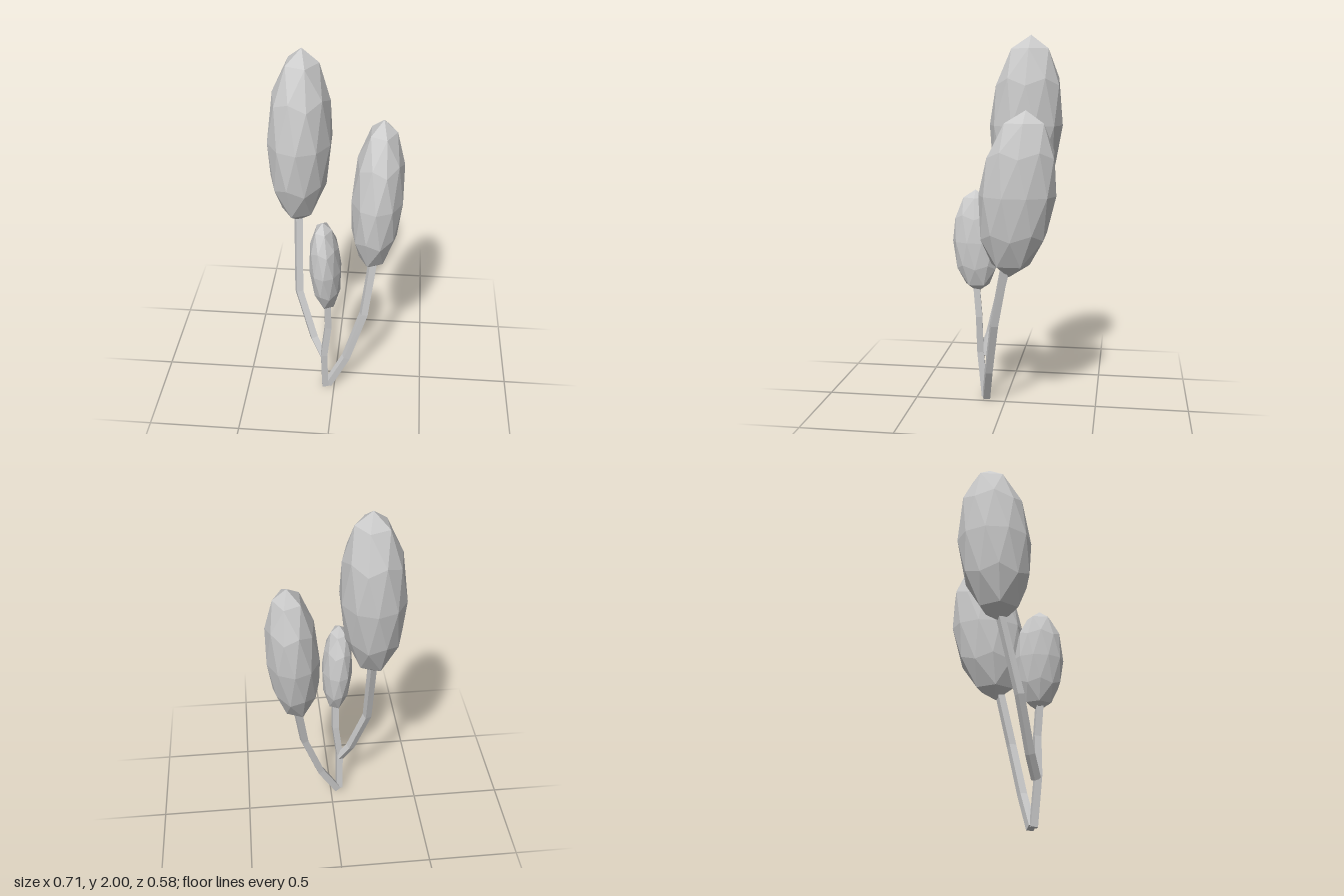
import * as THREE from 'three';

const material = new THREE.MeshStandardMaterial({ color: 0xcccccc, flatShading: true });

// Faceted egg of foliage; the poles lean sideways by leanX and leanZ.
function crown(name, [x, y, z], [rx, ry, rz], leanX, leanZ) {
  const g = new THREE.IcosahedronGeometry(1, 1);
  g.rotateZ(Math.atan(2 / (1 + Math.sqrt(5)))); // one corner straight up
  g.rotateY(Math.PI);
  const p = g.attributes.position;
  for (let i = 0; i < p.count; i++) {
    const h = p.getY(i);
    p.setXYZ(i, x + p.getX(i) * rx + h * leanX, y + h * ry, z + p.getZ(i) * rz + h * leanZ);
  }
  g.computeVertexNormals();
  const mesh = new THREE.Mesh(g, material);
  mesh.name = name;
  return mesh;
}

// Square stem: each ring of a four-sided cylinder is moved to one path point.
function stem(name, coords, radius, turn) {
  const pts = coords.map((c) => new THREE.Vector3(...c));
  const last = pts.length - 1;
  const up = new THREE.Vector3(0, 1, 0);
  const turns = pts.map((_, i) => {
    const dir = new THREE.Vector3();
    if (i > 0) dir.add(pts[i].clone().sub(pts[i - 1]).normalize());
    if (i < last) dir.add(pts[i + 1].clone().sub(pts[i]).normalize());
    return new THREE.Quaternion().setFromUnitVectors(up, dir.normalize());
  });
  const g = new THREE.CylinderGeometry(radius, radius, last, 4, last, false, Math.PI / 4 + turn);
  const p = g.attributes.position;
  const v = new THREE.Vector3();
  for (let i = 0; i < p.count; i++) {
    v.fromBufferAttribute(p, i);
    const ring = Math.round(v.y + last / 2);
    v.setY(0).applyQuaternion(turns[ring]).add(pts[ring]);
    p.setXYZ(i, v.x, v.y, v.z);
  }
  g.computeVertexNormals();
  const mesh = new THREE.Mesh(g, material);
  mesh.name = name;
  return mesh;
}

export function createModel() {
  const tree = new THREE.Group();
  tree.name = 'tree';

  // Foliage
  tree.add(
    crown('tallCrown', [-0.192, 1.52, -0.09], [0.17, 0.48, 0.2], 0.015, -0.027),
    crown('middleCrown', [0.215, 1.19, -0.093], [0.142, 0.43, 0.199], 0.021, -0.045),
    crown('smallCrown', [-0.041, 0.9, 0.161], [0.085, 0.28, 0.13], -0.012, 0.006),
  );

  // Trunk and branches
  tree.add(
    stem('trunk', [[-0.052, 0.012, 0.12], [-0.055, 0.27, 0.145], [-0.03, 0.48, 0.147], [-0.032, 0.68, 0.163]], 0.025, 0.15),
    stem('middleBranch', [[-0.038, 0.012, 0.11], [0.065, 0.2, 0.08], [0.16, 0.49, 0.035], [0.2, 0.8, -0.025]], 0.027, 0.3),
    stem('tallBranch', [[-0.058, 0.25, 0.135], [-0.115, 0.36, 0.1], [-0.2, 0.64, 0.04], [-0.206, 1.08, -0.06]], 0.026, 0.4),
  );
  return tree;
}
